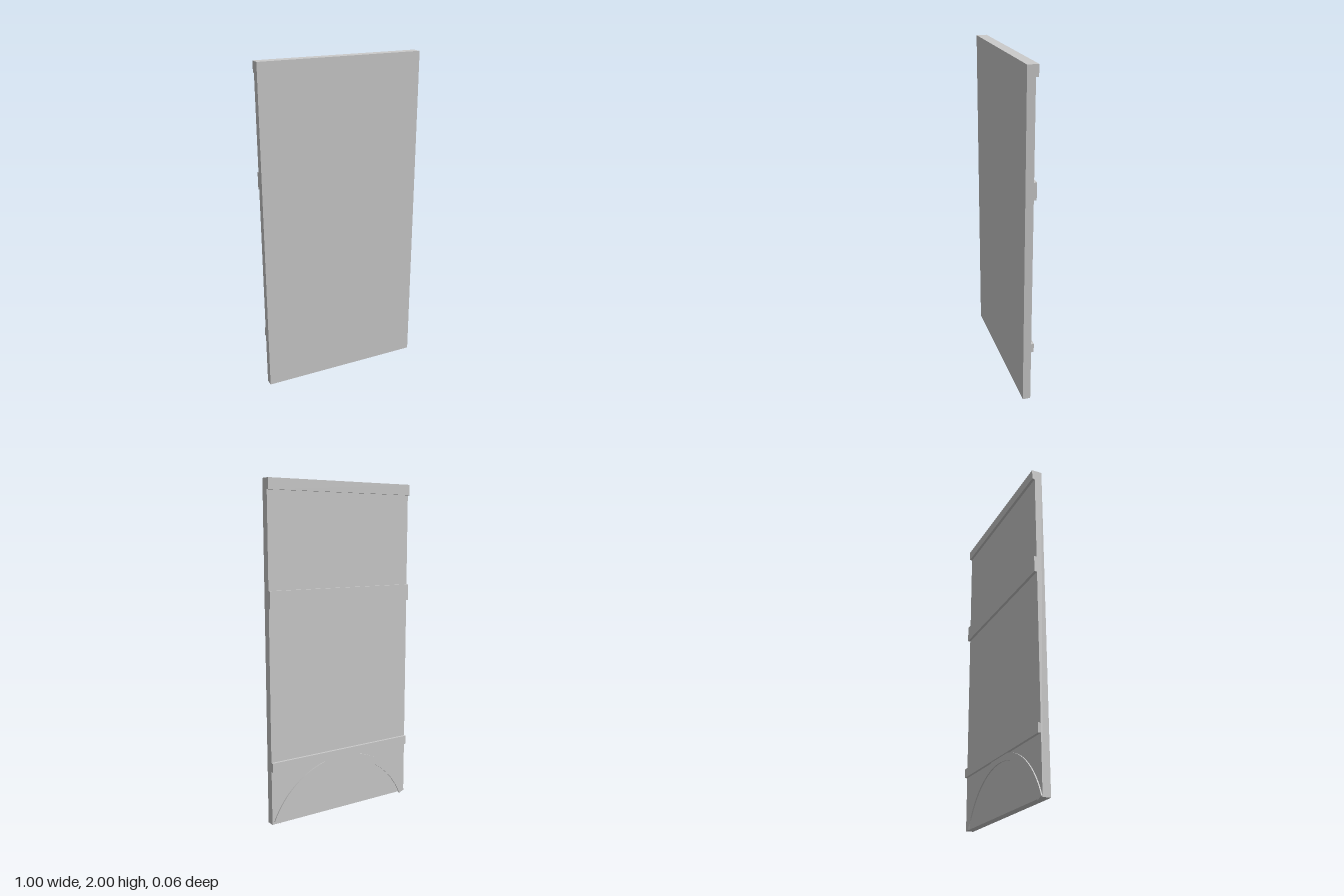
import * as THREE from 'three';

const FRONT = 0.031, BACK = -0.016, STRIP_BACK = -0.032, ARCH_BACK = -0.023;

export function createModel() {
  const group = new THREE.Group();
  const material = new THREE.MeshStandardMaterial({ color: 0xcccccc, flatShading: true });

  // Box spanning the full panel width between given y and z limits
  const slab = (name, y0, y1, z0, z1) => {
    const mesh = new THREE.Mesh(new THREE.BoxGeometry(0.995, y1 - y0, z1 - z0), material);
    mesh.position.set(0.001, (y0 + y1) / 2, (z0 + z1) / 2);
    mesh.name = name;
    group.add(mesh);
  };

  // Door panel
  slab('panel', 0.01, 2, BACK, FRONT);

  // Horizontal battens on the back
  slab('topBatten', 1.937, 2, STRIP_BACK, BACK);
  slab('middleBatten', 1.285, 1.385, STRIP_BACK, BACK);
  slab('bottomBatten', 0.335, 0.39, STRIP_BACK, BACK);

  // Shallow arched moulding at the foot of the back
  const outer = 0.533, inner = 0.49, centreY = -0.186;
  const start = Math.asin(0.196 / inner);
  const end = Math.PI - Math.asin(-centreY / inner);
  const shape = new THREE.Shape();
  shape.absarc(0, 0, outer, start, end, false);
  shape.absarc(0, 0, inner, end, start, true);
  shape.closePath();
  const arch = new THREE.Mesh(
    new THREE.ExtrudeGeometry(shape, { depth: BACK - ARCH_BACK, bevelEnabled: false, curveSegments: 32 }),
    material
  );
  arch.position.set(-0.003, centreY, ARCH_BACK);
  arch.name = 'archMoulding';
  group.add(arch);

  return group;
}
